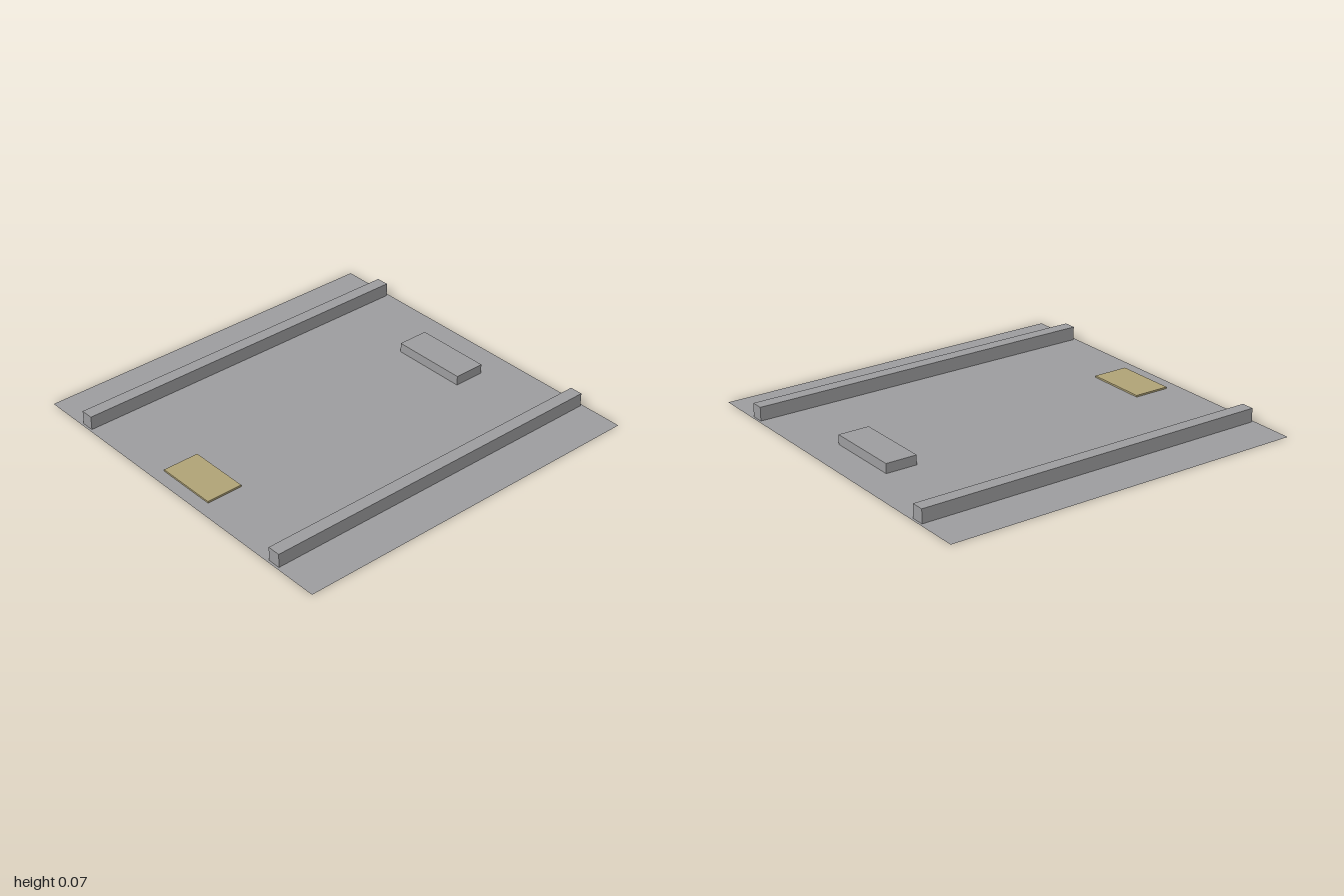
import * as THREE from 'three';

export function createModel() {
  const grey = new THREE.MeshStandardMaterial({ color: 0x9c9c9e, side: THREE.DoubleSide });
  grey.name = 'concrete grey';
  const tan = new THREE.MeshStandardMaterial({ color: 0xafa276 });
  tan.name = 'sand tan';

  const model = new THREE.Group();
  model.name = 'railedPad';

  // Box standing on height y, centred on x and z
  function addBox(name, material, [w, h, d], x, z, y = 0) {
    const mesh = new THREE.Mesh(new THREE.BoxGeometry(w, h, d), material);
    mesh.name = name;
    mesh.position.set(x, y + h / 2, z);
    model.add(mesh);
  }

  // Flat ground sheet
  const floor = new THREE.Mesh(new THREE.PlaneGeometry(2, 2).rotateX(-Math.PI / 2), grey);
  floor.name = 'floor';
  model.add(floor);

  // Long side rails
  for (const side of [-1, 1]) {
    addBox(side > 0 ? 'leftRail' : 'rightRail', grey, [0.07, 0.074, 1.974], side * 0.722, 0);
  }

  // Raised block at the back
  addBox('rearBlock', grey, [0.424, 0.052, 0.172], 0, -0.738);

  // Thin mat at the front, lifted slightly clear of the floor
  addBox('frontMat', tan, [0.34, 0.009, 0.2], 0, 0.83, 0.001);

  return model;
}
